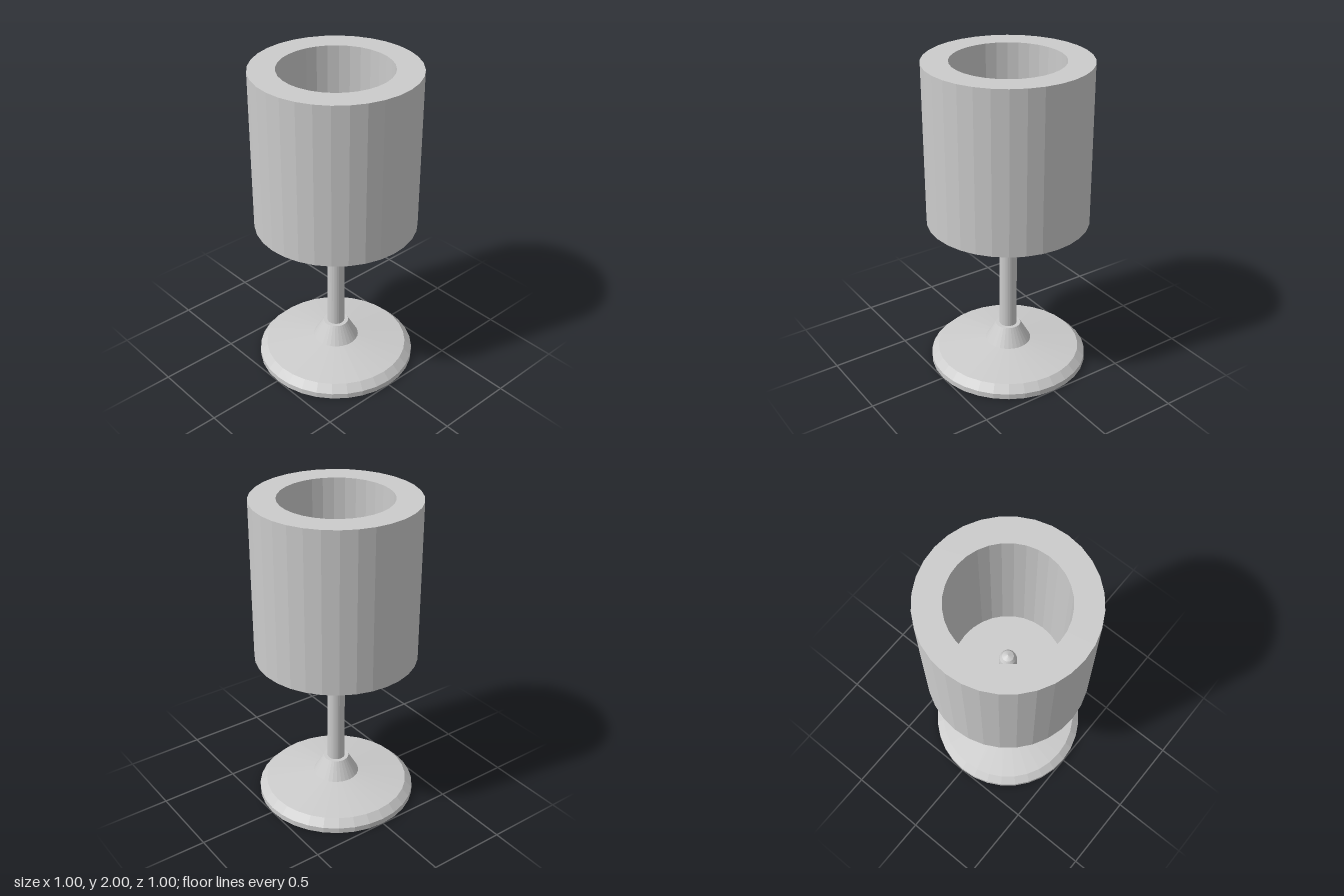
import * as THREE from 'three';

const SIDES = 32;

// Faceted surface of revolution; profile runs up the outside as [radius, y]
function turned(name, profile) {
  const points = profile.map(([r, y]) => new THREE.Vector2(r, y));
  const material = new THREE.MeshStandardMaterial({ color: 0xcccccc, flatShading: true });
  const mesh = new THREE.Mesh(new THREE.LatheGeometry(points, SIDES), material);
  mesh.name = name;
  return mesh;
}

export function createModel() {
  const model = new THREE.Group();
  model.name = 'tableLamp';

  // Stepped foot with a conical collar
  model.add(turned('base', [
    [0, 0], [0.5, 0], [0.5, 0.035], [0.455, 0.08],
    [0.145, 0.125], [0.08, 0.24], [0, 0.24],
  ]));

  // Slim column flaring into the socket
  model.add(turned('stem', [
    [0.055, 0.24], [0.055, 0.9], [0.09, 0.965], [0.09, 1.03], [0, 1.03],
  ]));

  // Thin plate closing the shade, set just above its lower rim
  model.add(turned('shadeFloor', [
    [0, 1.02], [0.34, 1.02], [0.34, 1.03], [0, 1.03],
  ]));

  // Thick open-topped drum shade
  model.add(turned('shade', [
    [0.34, 1], [0.5, 1], [0.5, 2], [0.34, 2], [0.34, 1],
  ]));

  // Small bulb with a rounded tip, standing on the socket
  model.add(turned('bulb', [
    [0.055, 1.03], [0.055, 1.17], [0.05, 1.2], [0.035, 1.225], [0, 1.24],
  ]));

  return model;
}
